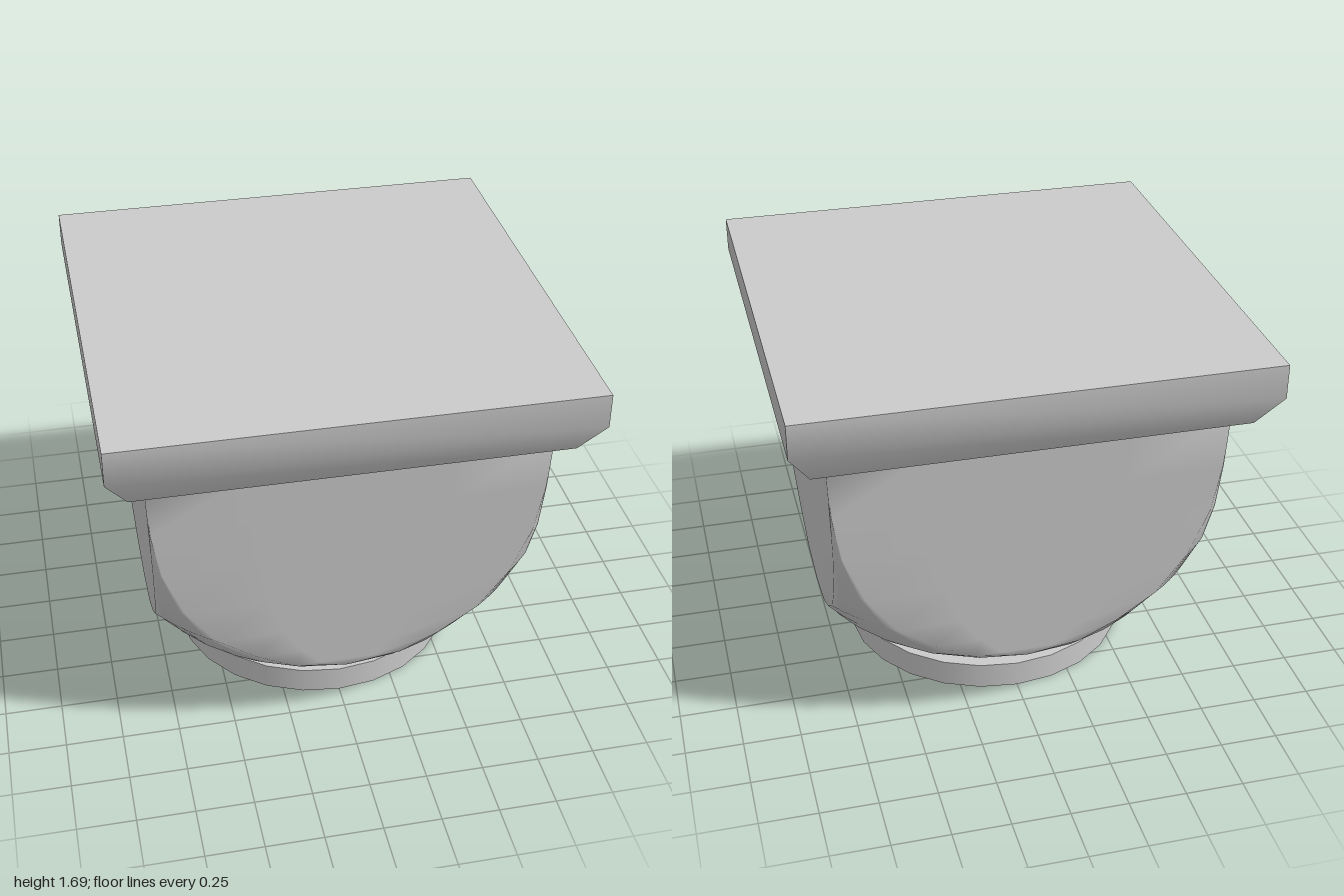
import * as THREE from 'three';
import { mergeVertices, toCreasedNormals } from 'three/addons/utils/BufferGeometryUtils.js';

const material = new THREE.MeshStandardMaterial({ color: 0xcccccc });

function addPart(group, name, geometry) {
  const mesh = new THREE.Mesh(geometry, material);
  mesh.name = name;
  group.add(mesh);
  return mesh;
}

// Bowl radius at each height: [radius, y]
const BOWL = [
  [0.5, 0.12], [0.66, 0.195], [0.8, 0.29], [0.835, 0.325], [0.9, 0.41], [0.99, 0.53],
  [1.075, 0.71], [1.14, 0.93], [1.172, 1.15], [1.188, 1.39],
];
const FLAT_STEPS = 4;
const ARC_STEPS = 6;

// Half width of the slightly tapered square block that trims the bowl
const halfWidth = (y) => 0.8 + 0.04 * (y - 0.29) / 1.1;

// Cross-section: a circle cut by a square, four flats joined by four corner arcs
function section(radius, y) {
  const w = halfWidth(y);
  const cut = radius > w ? Math.min(Math.acos(w / radius), Math.PI / 4) : 0;
  const points = [];
  for (let side = 0; side < 4; side++) {
    const turn = side * Math.PI / 2;
    const put = (out, across) => points.push([
      out * Math.cos(turn) - across * Math.sin(turn), y,
      -out * Math.sin(turn) - across * Math.cos(turn),
    ]);
    const reach = radius * Math.sin(cut);
    for (let i = 0; i < FLAT_STEPS; i++) {
      put(radius * Math.cos(cut), reach * (2 * i / FLAT_STEPS - 1));
    }
    for (let i = 0; i < ARC_STEPS; i++) {
      const a = cut + (Math.PI / 2 - 2 * cut) * i / ARC_STEPS;
      put(radius * Math.cos(a), radius * Math.sin(a));
    }
  }
  return points;
}

// Skin the stacked cross-sections, smooth shaded
function cushionGeometry() {
  const rings = BOWL.map(([radius, y]) => section(radius, y));
  const n = rings[0].length;
  const index = [];
  for (let j = 0; j < rings.length - 1; j++) {
    for (let i = 0; i < n; i++) {
      const k = (i + 1) % n;
      const a = j * n + i, b = j * n + k, c = a + n, d = b + n;
      index.push(a, b, d, a, d, c);
    }
  }
  const geometry = new THREE.BufferGeometry();
  geometry.setAttribute('position', new THREE.Float32BufferAttribute(rings.flat(2), 3));
  geometry.setIndex(index);
  const merged = mergeVertices(geometry);
  merged.computeVertexNormals();
  return merged;
}

// Square slab with a canted lower edge: a four-sided lathe
function abacusGeometry() {
  const profile = [[0, 1.39], [0.91, 1.39], [1, 1.54], [1, 1.69], [0, 1.69]]
    .map(([half, y]) => new THREE.Vector2(half * Math.SQRT2, y));
  const geometry = new THREE.LatheGeometry(profile, 4, Math.PI / 4);
  return toCreasedNormals(geometry, 0.9);
}

export function createModel() {
  const group = new THREE.Group();
  group.name = 'cushionCapital';

  // Round collar at the foot
  addPart(group, 'neckRing', new THREE.CylinderGeometry(0.64, 0.64, 0.12, 24)).position.y = 0.06;

  // Bowl with a rounded shield on each side
  addPart(group, 'cushion', cushionGeometry());

  // Top slab
  addPart(group, 'abacus', abacusGeometry());

  return group;
}
